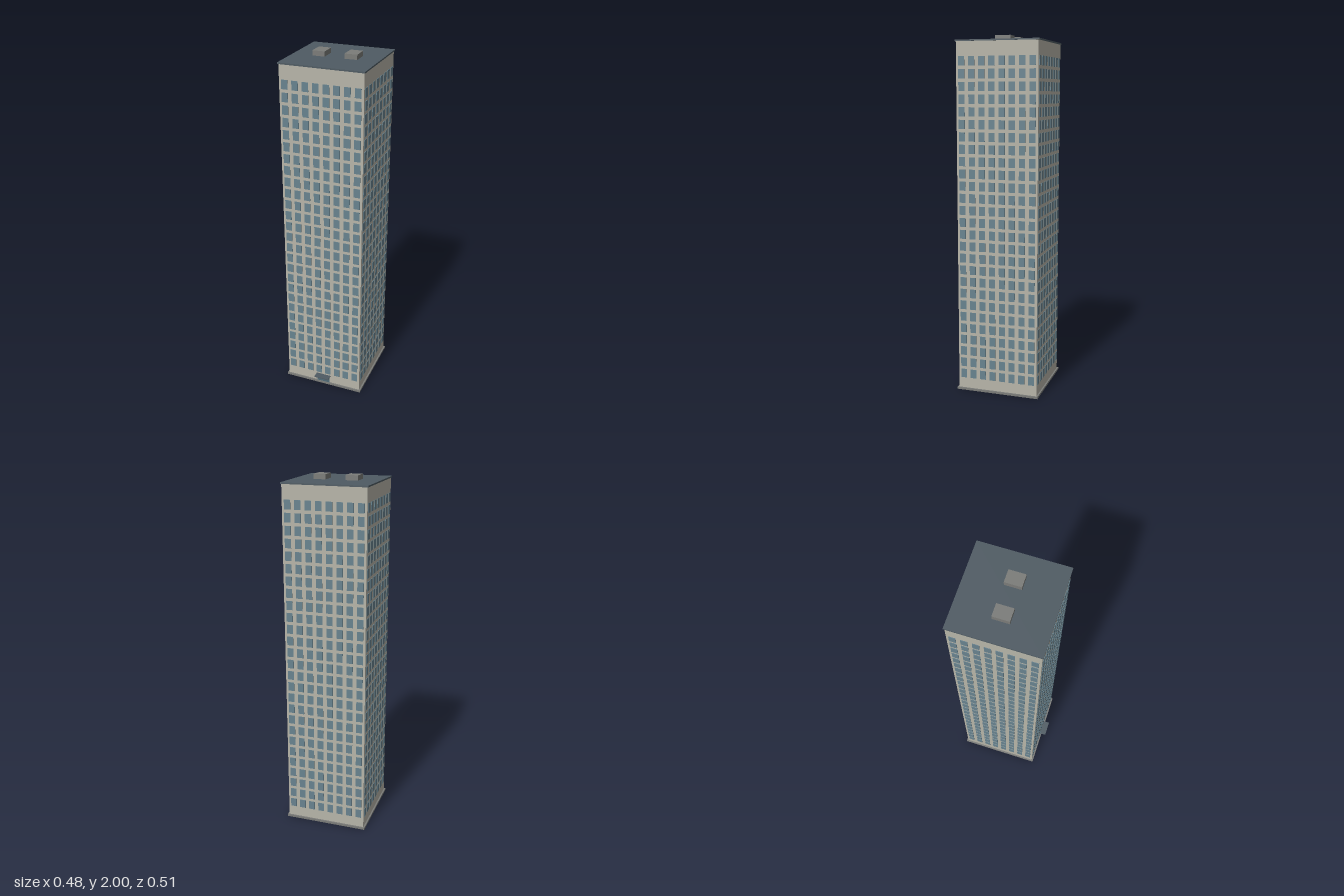
import * as THREE from 'three';

const mat = (name, color) => {
  const m = new THREE.MeshStandardMaterial({ color });
  m.name = name;
  return m;
};

export function createModel() {
  const wall = mat('concrete wall', 0xb7b5a9);
  const glass = mat('window glass', 0x68838f);
  const slate = mat('slate roof', 0x4f5b63);
  const grey = mat('grey concrete', 0x7b7c79);
  const doorGlass = mat('door glass', 0x4f6b78);

  const group = new THREE.Group();
  group.name = 'towerBlock';
  const midZ = -0.016; // tower sits slightly back, leaving room for the canopy
  const half = 0.231;  // half width of the walls

  const box = (name, material, [w, h, d], [x, y, z], parent = group) => {
    const mesh = new THREE.Mesh(new THREE.BoxGeometry(w, h, d), material);
    mesh.name = name;
    mesh.position.set(x, y, z);
    parent.add(mesh);
    return mesh;
  };

  // Plinth, shaft and roof slab
  box('plinth', grey, [0.48, 0.012, 0.48], [0, 0.006, midZ]);
  box('shaft', wall, [half * 2, 1.954, half * 2], [0, 0.989, midZ]);
  box('roofSlab', slate, [0.472, 0.008, 0.472], [0, 1.969, midZ]);

  // Two roof plant boxes
  for (const side of [-1, 1]) {
    box('roofUnit', grey, [0.069, 0.03, 0.088], [side * 0.0895, 1.985, -0.015]);
  }

  // Same window grid on all four faces
  const columns = 8, rows = 27;
  const pane = new THREE.BoxGeometry(0.035, 0.05, 0.006);
  const facadeNames = ['frontWindows', 'leftWindows', 'backWindows', 'rightWindows'];
  facadeNames.forEach((name, i) => {
    const facade = new THREE.Group();
    facade.name = name;
    facade.position.z = midZ;
    facade.rotation.y = i * Math.PI / 2;
    for (let r = 0; r < rows; r++) {
      for (let c = 0; c < columns; c++) {
        const mesh = new THREE.Mesh(pane, glass);
        mesh.name = 'window';
        mesh.position.set((c - (columns - 1) / 2) * 0.0573, 0.098 + r * 0.0678, half);
        facade.add(mesh);
      }
    }
    group.add(facade);
  });

  // Entrance door and canopy
  box('door', doorGlass, [0.08, 0.046, 0.008], [0, 0.035, midZ + half]);
  box('canopy', slate, [0.09, 0.005, 0.039], [0, 0.0595, 0.2345]);

  return group;
}
